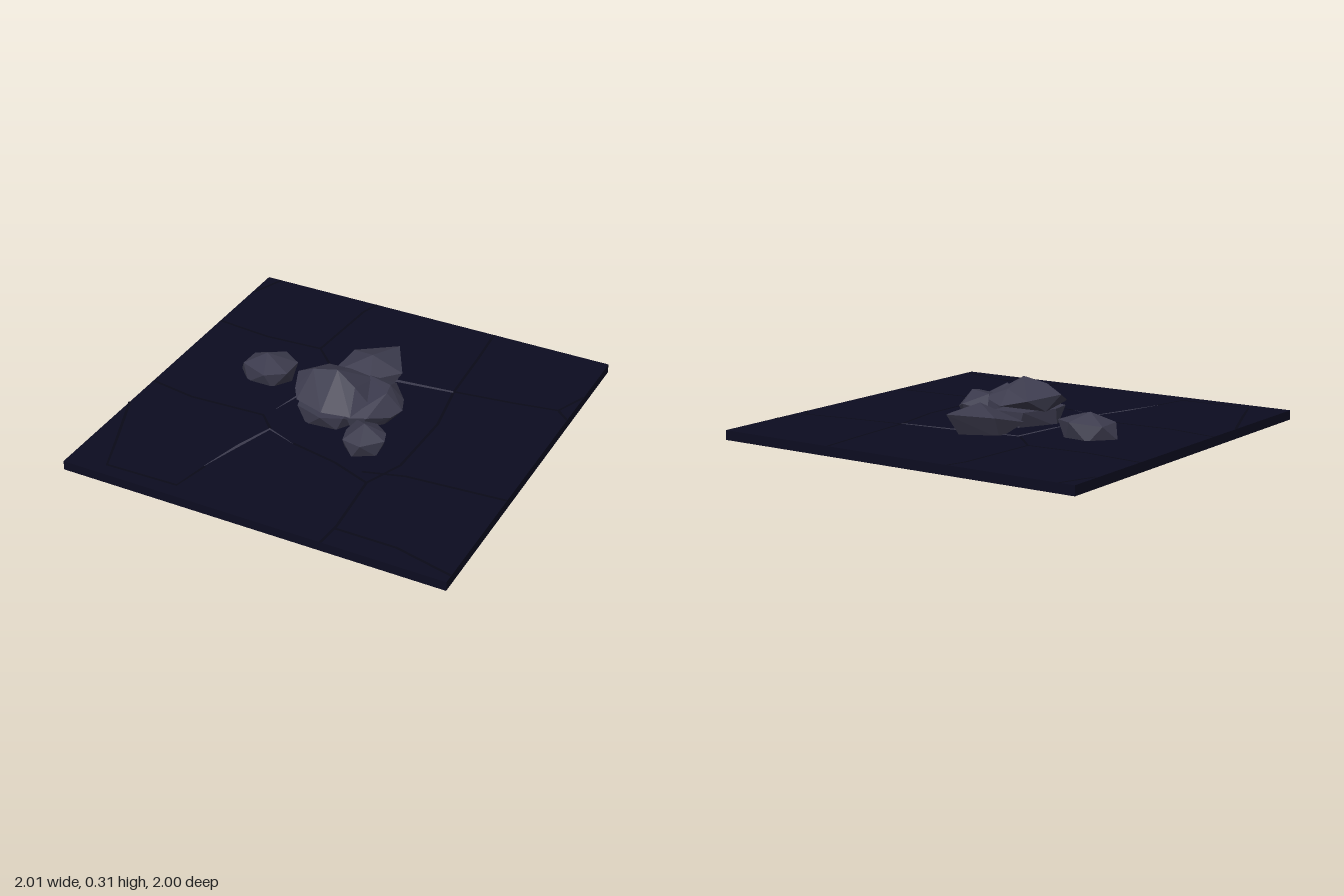
import * as THREE from 'three';
import { ConvexGeometry } from 'three/addons/geometries/ConvexGeometry.js';

const mat = (name, color) => {
  const m = new THREE.MeshStandardMaterial({ color });
  m.name = name;
  return m;
};

// Faceted boulder: convex hull of a few corner points
function boulder(name, material, corners) {
  const mesh = new THREE.Mesh(new ConvexGeometry(corners.map(p => new THREE.Vector3(...p))), material);
  mesh.name = name;
  return mesh;
}

// Flat tapered strip on the floor along [x, z] points, one width per point
function strip(name, material, path, widths, y) {
  const left = [], right = [];
  path.forEach((p, i) => {
    const a = path[Math.max(i - 1, 0)], b = path[Math.min(i + 1, path.length - 1)];
    const dx = b[0] - a[0], dz = b[1] - a[1], len = Math.hypot(dx, dz);
    const w = (Array.isArray(widths) ? widths[i] : widths) / 2;
    const nx = -dz / len * w, nz = dx / len * w;
    left.push(new THREE.Vector2(p[0] + nx, -p[1] - nz));
    right.unshift(new THREE.Vector2(p[0] - nx, -p[1] + nz));
  });
  const geo = new THREE.ShapeGeometry(new THREE.Shape([...left, ...right]));
  geo.rotateX(-Math.PI / 2).translate(0, y, 0);
  const mesh = new THREE.Mesh(geo, material);
  mesh.name = name;
  return mesh;
}

export function createModel() {
  const group = new THREE.Group();
  group.name = 'rubbleFloorTile';
  const floor = mat('midnight stone', 0x0c0c20);
  const joint = mat('dark joint', 0x090918);
  const rock = mat('grey rock', 0x3b3a4c);

  // Floor slab
  const slab = new THREE.Mesh(new THREE.BoxGeometry(2, 0.048, 2), floor);
  slab.name = 'floorSlab';
  slab.position.y = 0.07;
  group.add(slab);

  // Joints between the paving stones
  const joints = [
    [[-0.33, -1], [-0.36, -0.9], [-0.39, -0.46], [-0.25, -0.32]],
    [[-1, -0.47], [-0.7, -0.44], [-0.39, -0.46]],
    [[-0.92, -1], [-0.99, -0.82]],
    [[0.36, -1], [0.38, -0.75], [0.4, -0.4], [0.45, -0.1], [0.44, 0.3], [0.36, 0.5], [0.39, 0.86], [0.38, 1]],
    [[0.4, -0.4], [0.7, -0.44], [0.93, -0.48], [1, -0.65]],
    [[0.93, -0.48], [1, -0.42]],
    [[-1, 0.2], [-0.75, 0.24], [-0.35, 0.22], [-0.26, 0.31]],
    [[-1, 0.42], [-0.88, 0.72], [-0.8, 0.93], [-0.42, 0.92], [-0.38, 0.73]],
    [[-0.1, 0.37], [0.15, 0.42], [0.36, 0.5]],
    [[0.3, 0.43], [0.5, 0.37], [1, 0.33]],
    [[0.39, 0.88], [0.7, 0.88], [1, 0.95]],
  ];
  joints.forEach((path, i) => group.add(strip('joint' + (i + 1), joint, path, 0.014, 0.0945)));

  // Pale cracks
  group.add(strip('backCrack', rock,
    [[0.4, -0.395], [0.1, -0.36], [-0.235, -0.315], [-0.27, -0.05], [-0.32, 0.15]],
    [0.014, 0.022, 0.022, 0.016, 0.002], 0.0955));
  group.add(strip('frontCrack', rock,
    [[-0.385, 0.73], [-0.325, 0.51], [-0.26, 0.315], [-0.1, 0.375]],
    [0.003, 0.018, 0.016, 0.002], 0.0955));

  // Overhanging main boulder
  group.add(boulder('mainBoulder', rock, [
    [-0.05, 0.32, 0], [-0.18, 0.295, 0.01], [-0.27, 0.25, 0], [-0.18, 0.23, -0.16],
    [-0.03, 0.27, -0.11], [-0.05, 0.2, -0.2], [0.08, 0.225, -0.15], [0.06, 0.265, 0.03],
    [0.14, 0.2, 0.04], [0.1, 0.18, 0.16], [-0.04, 0.19, 0.2], [-0.2, 0.19, 0.15],
    [-0.24, 0.21, 0.09], [-0.22, 0.17, -0.06], [-0.1, 0.14, 0.1],
  ]));
  // Lower body beneath it
  group.add(boulder('lowerBoulder', rock, [
    [-0.22, 0.17, 0.03], [-0.22, 0.08, 0.04], [-0.19, 0.165, 0.16], [-0.13, 0.08, 0.18],
    [-0.04, 0.165, 0.21], [0.03, 0.09, 0.17], [0.06, 0.16, 0.16], [0.1, 0.1, 0.06],
    [-0.15, 0.17, -0.15], [-0.12, 0.08, -0.15], [0.05, 0.17, -0.17], [-0.06, 0.06, 0],
  ]));
  // Boulder leaning on its right-hand face
  group.add(boulder('sideBoulder', rock, [
    [0.19, 0.245, -0.1], [0.2, 0.235, -0.04], [0.06, 0.24, -0.14], [0.17, 0.19, -0.21],
    [0.02, 0.17, -0.21], [0.28, 0.15, -0.05], [0.25, 0.16, -0.13], [0.25, 0.14, 0.02],
    [0.17, 0.17, 0.12], [0.08, 0.17, 0.16], [0.1, 0.09, 0.14], [-0.03, 0.1, -0.1],
    [0.2, 0.07, 0.02], [0.11, 0.005, -0.05], [0.16, 0.07, -0.17],
  ]));
  // Pointed boulder at the back
  group.add(boulder('backBoulder', rock, [
    [-0.02, 0.235, -0.325], [0.04, 0.2, -0.515], [-0.16, 0.185, -0.4], [-0.2, 0.14, -0.21],
    [0.03, 0.17, -0.2], [0.145, 0.17, -0.33], [0.02, 0.09, -0.44], [-0.15, 0.08, -0.35],
    [0.09, 0.08, -0.27], [-0.09, 0.08, -0.21], [-0.03, 0.02, -0.32],
  ]));
  // Loose stones
  group.add(boulder('rightStone', rock, [
    [-0.52, 0.215, -0.13], [-0.47, 0.175, -0.24], [-0.37, 0.17, -0.18], [-0.37, 0.17, -0.06],
    [-0.47, 0.165, 0], [-0.62, 0.165, -0.06], [-0.62, 0.16, -0.18], [-0.66, 0.09, -0.11],
    [-0.56, 0.08, -0.22], [-0.375, 0.09, -0.12], [-0.43, 0.08, -0.21], [-0.44, 0.08, -0.03],
    [-0.58, 0.08, -0.03], [-0.515, 0.037, -0.12],
  ]));
  group.add(boulder('frontStone', rock, [
    [0.215, 0.225, 0.235], [0.14, 0.18, 0.16], [0.235, 0.17, 0.135], [0.31, 0.17, 0.19],
    [0.33, 0.165, 0.25], [0.245, 0.165, 0.345], [0.14, 0.16, 0.32], [0.11, 0.15, 0.22],
    [0.16, 0.08, 0.15], [0.29, 0.09, 0.18], [0.3, 0.09, 0.28], [0.2, 0.09, 0.34],
    [0.125, 0.09, 0.27], [0.22, 0.042, 0.24],
  ]));
  return group;
}
